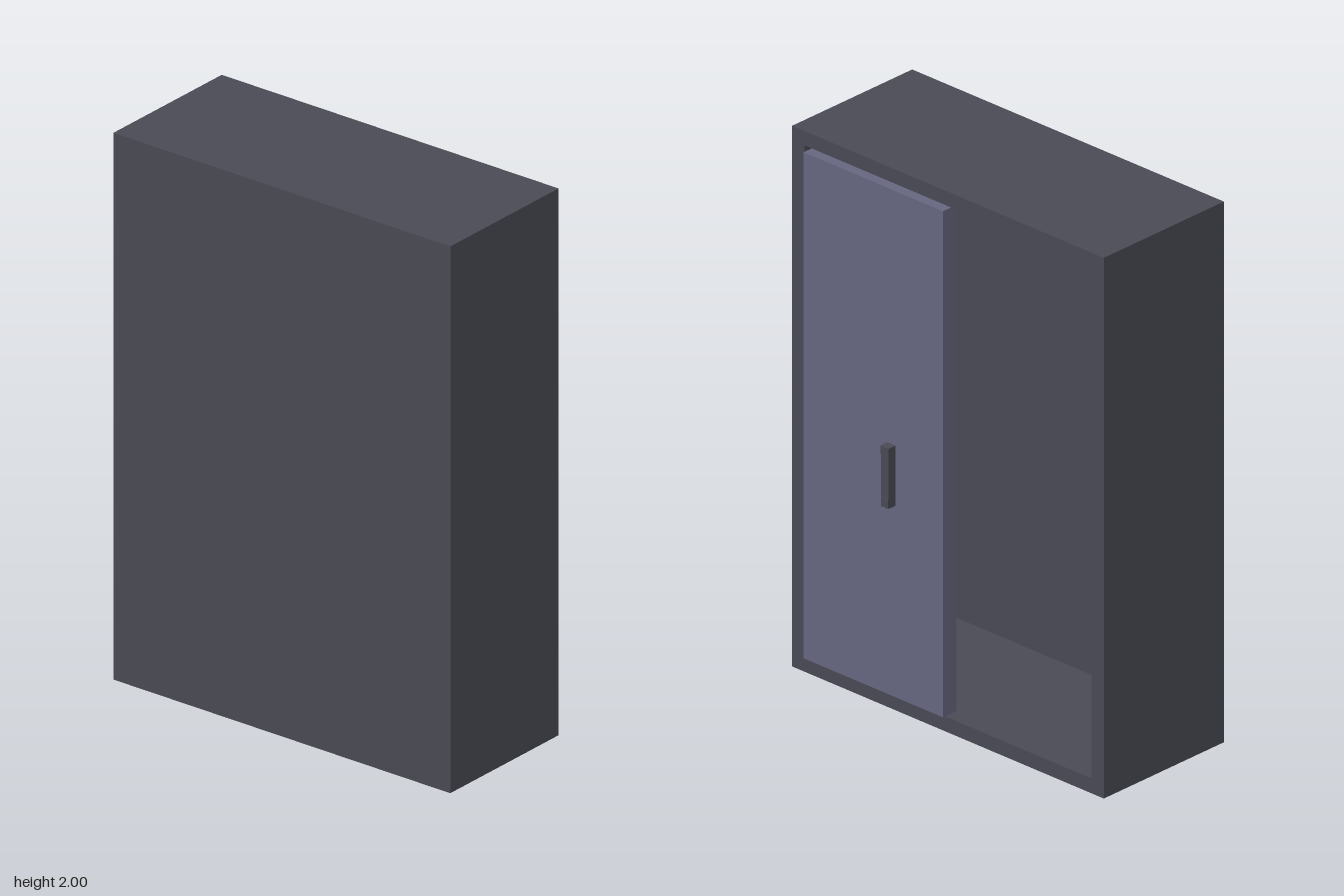
import * as THREE from 'three';

const dark = new THREE.MeshStandardMaterial({ color: 0x4a4a55 });
const light = new THREE.MeshStandardMaterial({ color: 0x666680 });

// Box given by its [min, max] range on each axis
function box(name, [x0, x1], [y0, y1], [z0, z1], material) {
  const mesh = new THREE.Mesh(new THREE.BoxGeometry(x1 - x0, y1 - y0, z1 - z0), material);
  mesh.position.set((x0 + x1) / 2, (y0 + y1) / 2, (z0 + z1) / 2);
  mesh.name = name;
  return mesh;
}

// Closed rectangle, centred across, for the carcass outline and its opening
function rectangle(path, halfWidth, bottom, top) {
  path.moveTo(-halfWidth, bottom);
  path.lineTo(halfWidth, bottom);
  path.lineTo(halfWidth, top);
  path.lineTo(-halfWidth, top);
  path.closePath();
  return path;
}

export function createModel() {
  const cabinet = new THREE.Group();
  cabinet.name = 'cabinet';
  const backX = -0.32, innerX = -0.3, openX = 0.257;

  // Carcass: four walls around an opening that faces +x
  const outline = rectangle(new THREE.Shape(), 0.712, 0, 2);
  outline.holes.push(rectangle(new THREE.Path(), 0.655, 0.055, 1.947));
  const walls = new THREE.ExtrudeGeometry(outline, { depth: openX - innerX, bevelEnabled: false });
  walls.rotateY(Math.PI / 2);
  const carcass = new THREE.Mesh(walls, dark);
  carcass.position.x = innerX;
  carcass.name = 'carcass';
  cabinet.add(carcass);

  // Thin back panel
  cabinet.add(box('backPanel', [backX, innerX], [0, 2], [-0.712, 0.712], dark));

  // Single door covering half of the opening, set partly into it
  cabinet.add(box('door', [0.218, 0.283], [0.066, 1.938], [-0.002, 0.635], light));

  // Upright handle with slightly proud ends
  const handle = new THREE.Group();
  handle.name = 'handle';
  handle.add(
    box('handleGrip', [0.282, 0.317], [0.775, 0.997], [0.214, 0.248], dark),
    box('handleTop', [0.282, 0.316], [0.965, 0.996], [0.216, 0.253], dark),
    box('handleBottom', [0.282, 0.32], [0.776, 0.81], [0.215, 0.247], dark),
  );
  cabinet.add(handle);
  return cabinet;
}
